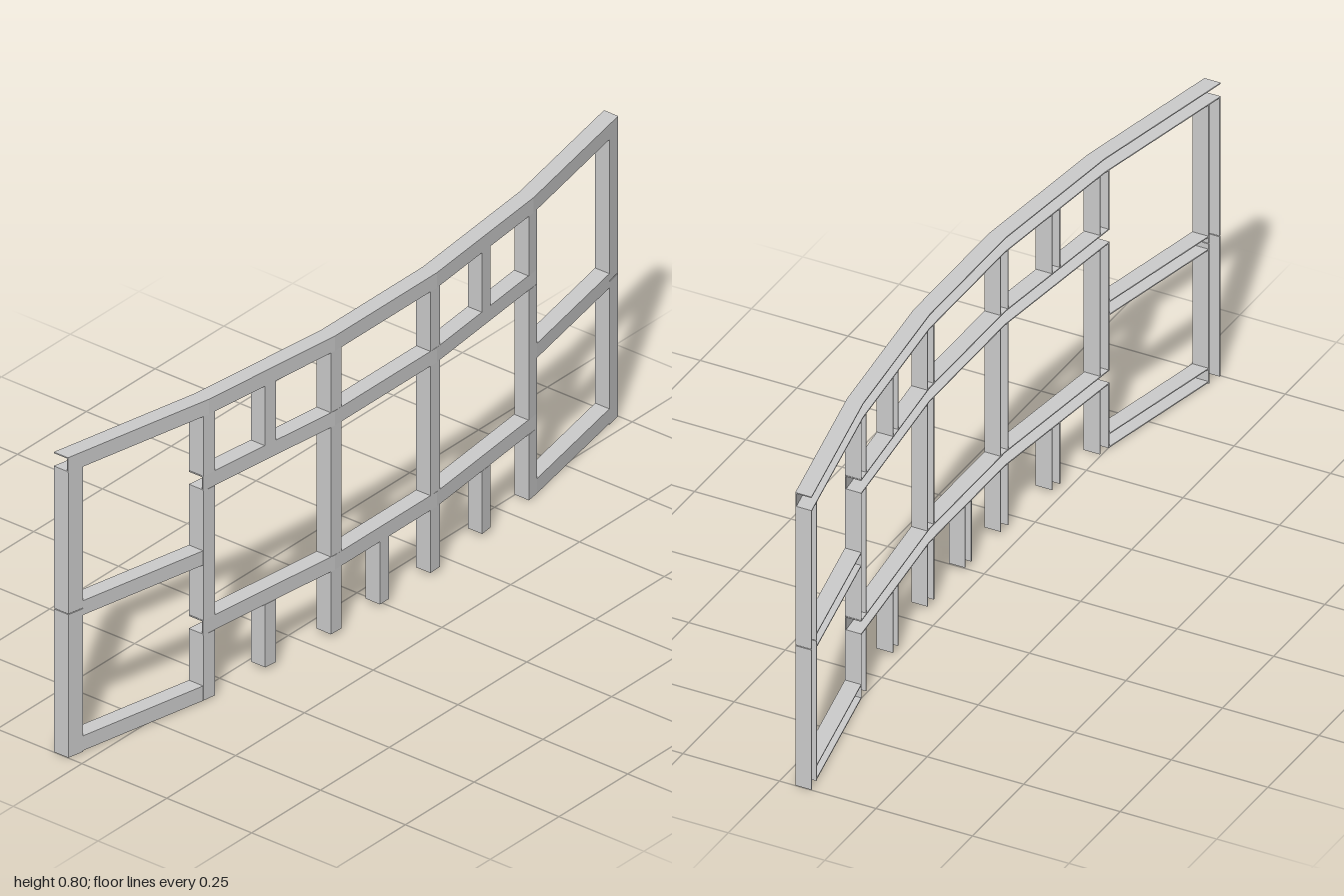
import * as THREE from 'three';

const DEPTH = 0.042; // front-to-back size of every channel
const WALL = 0.003; // sheet thickness
const BENDS = [[0, 0.085], [0.185, 0.085], [0.59, 0.042], [1, -0.041]];

// z of the faceted curved front for a given x
function frontZ(x) {
  const a = Math.abs(x);
  let i = 0;
  while (i < BENDS.length - 2 && a > BENDS[i + 1][0]) i++;
  const [x0, z0] = BENDS[i], [x1, z1] = BENDS[i + 1];
  return z0 + ((z1 - z0) * (a - x0)) / (x1 - x0);
}

// U section, open at the back: x across the width, y is depth
function channelShape(w) {
  const h = w / 2;
  return new THREE.Shape([
    [-h, 0], [-h, -DEPTH], [-h + WALL, -DEPTH], [-h + WALL, -WALL],
    [h - WALL, -WALL], [h - WALL, -DEPTH], [h, -DEPTH], [h, 0],
  ].map(([x, y]) => new THREE.Vector2(x, y)));
}

const material = new THREE.MeshStandardMaterial({ color: 0xcccccc, side: THREE.DoubleSide });

// Channel filling the rectangle x0..x1, y0..y1, sheared onto the curve
function addChannel(group, name, x0, x1, y0, y1, upright) {
  const width = upright ? x1 - x0 : y1 - y0;
  const length = upright ? y1 - y0 : x1 - x0;
  const geo = new THREE.ExtrudeGeometry(channelShape(width), { depth: length, bevelEnabled: false });
  geo.translate(0, 0, -length / 2);
  geo.rotateX(-Math.PI / 2); // length along y, open side towards +z
  geo.rotateY(Math.PI);
  const p = geo.attributes.position;
  // keep the web at z = 0 and the open side at negative z
  geo.computeBoundingBox();
  if (geo.boundingBox.max.z > 0.01) geo.rotateY(Math.PI);
  if (!upright) geo.rotateZ(Math.PI / 2);
  geo.translate((x0 + x1) / 2, (y0 + y1) / 2, 0);
  for (let i = 0; i < p.count; i++) p.setZ(i, p.getZ(i) + frontZ(p.getX(i)));
  geo.computeVertexNormals();
  const mesh = new THREE.Mesh(geo, material);
  mesh.name = name;
  group.add(mesh);
}

export function createModel() {
  const model = new THREE.Group();
  model.name = 'curvedFrame';

  // Rails, one piece per facet
  const rail = (name, xs, y0, y1) => {
    for (let i = 0; i < xs.length - 1; i++) addChannel(model, name, xs[i], xs[i + 1], y0, y1, false);
  };
  rail('topRail', [-1, -0.59, -0.185, 0.185, 0.59, 1], 0.755, 0.795);
  rail('upperRail', [-0.607, -0.185, 0.185, 0.607], 0.558, 0.597);
  rail('lowerRail', [-0.607, -0.185, 0.185, 0.607], 0.176, 0.215);

  const post = (name, x, w, y0, y1) => addChannel(model, name, x - w / 2, x + w / 2, y0, y1, true);
  for (const s of [-1, 1]) {
    // Side bay rails
    const xs = [s * 0.607, s * 0.957].sort((a, b) => a - b);
    rail('sideMiddleRail', xs, 0.362, 0.4);
    rail('sideBottomRail', xs, 0.003, 0.042);

    // Outer posts in two lengths
    post('outerPost', s * 0.978, 0.042, 0, 0.379);
    post('outerPost', s * 0.978, 0.042, 0.381, 0.755);

    // Inner posts between the rails
    for (const [x, foot] of [[0.588, 0.003], [0.18, 0.01]]) {
      post('innerPostFoot', s * x, 0.036, foot, 0.176);
      post('innerPost', s * x, 0.036, 0.215, 0.558);
      post('innerPostTop', s * x, 0.036, 0.597, 0.755);
    }

    // Short intermediate studs
    post('lowerStud', s * 0.392, 0.035, 0.01, 0.176);
    post('upperStud', s * 0.392, 0.035, 0.597, 0.755);
  }
  post('centreStud', -0.005, 0.033, 0.01, 0.176);

  return model;
}
